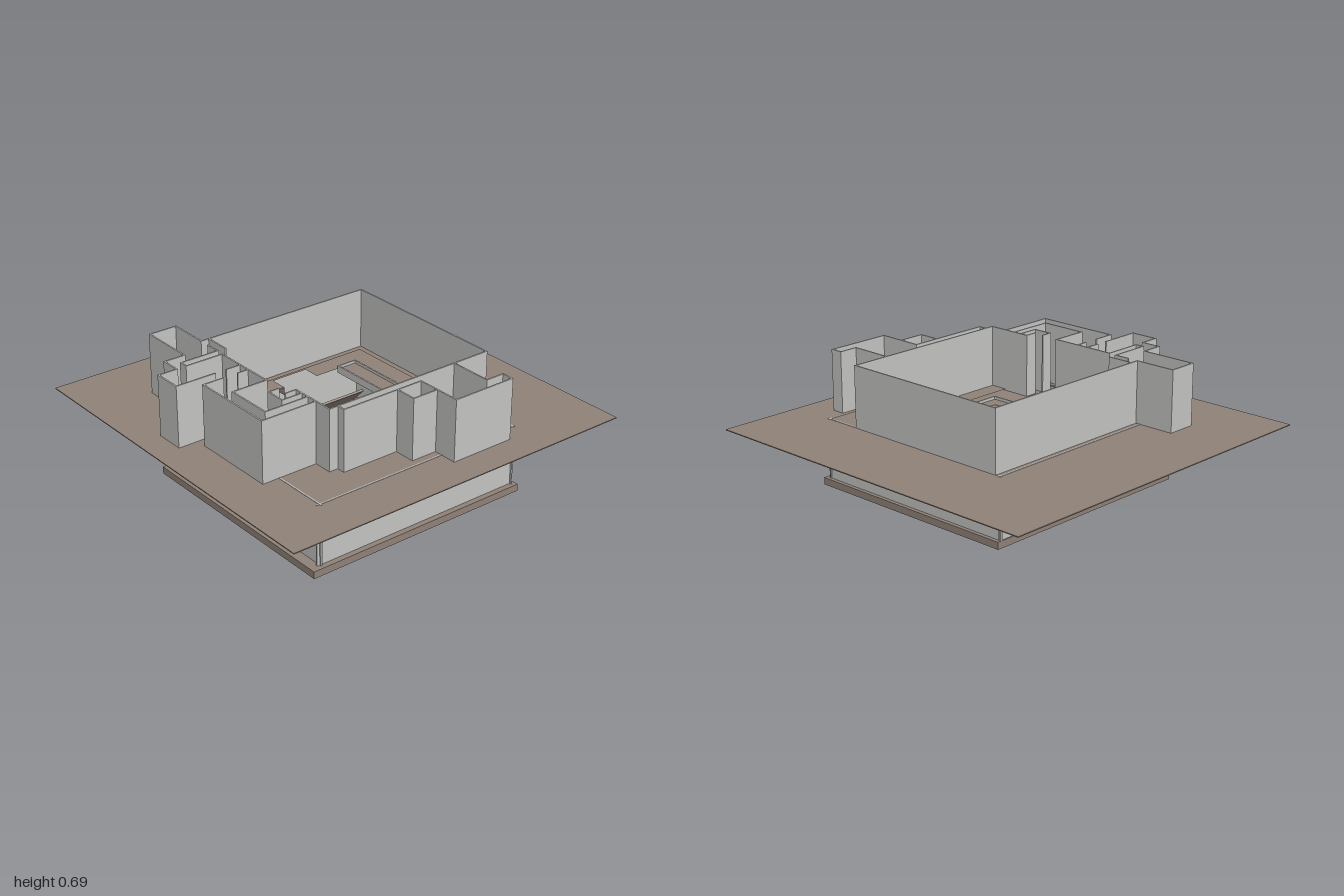
import * as THREE from 'three';

const concrete = new THREE.MeshStandardMaterial({ color: 0xc2c2c0 });
concrete.name = 'pale grey wall';
const earth = new THREE.MeshStandardMaterial({ color: 0x8f8178 });
earth.name = 'brown floor';

const T = 0.008; // wall thickness

function box(name, mat, x0, x1, y0, y1, z0, z1) {
  const m = new THREE.Mesh(new THREE.BoxGeometry(x1 - x0, y1 - y0, z1 - z0), mat);
  m.position.set((x0 + x1) / 2, (y0 + y1) / 2, (z0 + z1) / 2);
  m.name = name;
  return m;
}

// Straight wall runs through a list of [x, z] plan points
function walls(name, y0, y1, paths) {
  const g = new THREE.Group();
  g.name = name;
  for (const p of paths) {
    for (let i = 0; i + 1 < p.length; i++) {
      const [ax, az] = p[i], [bx, bz] = p[i + 1], h = T / 2;
      g.add(box('wall', concrete,
        Math.min(ax, bx) - h, Math.max(ax, bx) + h, y0, y1,
        Math.min(az, bz) - h, Math.max(az, bz) + h));
    }
  }
  return g;
}

// Horizontal slab from plan outlines (x, z), with holes
function slab(name, outline, holes, y0, y1) {
  const pts = (a) => a.map(([x, z]) => new THREE.Vector2(x, -z));
  const s = new THREE.Shape(pts(outline));
  for (const h of holes) s.holes.push(new THREE.Path(pts(h)));
  const geo = new THREE.ExtrudeGeometry(s, { depth: y1 - y0, bevelEnabled: false });
  geo.rotateX(-Math.PI / 2);
  const m = new THREE.Mesh(geo, earth);
  m.position.y = y0;
  m.name = name;
  return m;
}

const rect = (x0, x1, z0, z1) => [[x0, z0], [x1, z0], [x1, z1], [x0, z1]];

export function createModel() {
  const g = new THREE.Group();
  g.name = 'building';

  // Lower storey: foundation and four outer walls with crossing corners
  g.add(box('foundation', earth, -0.72, 0.56, 0.004, 0.042, -0.46, 0.78));
  g.add(walls('lowerWalls', 0.04, 0.364, [
    [[-0.675, -0.45], [0.54, -0.45]],
    [[-0.675, 0.746], [0.54, 0.746]],
    [[-0.66, -0.455], [-0.66, 0.755]],
    [[0.535, -0.455], [0.535, 0.755]],
  ]));

  // Ground plate with a recess and a small shaft
  g.add(slab('groundPlate', rect(-1, 1, -1, 1),
    [rect(-0.65, 0.5, -0.385, 0.44)], 0.357, 0.362));

  // Recessed floor with stairwell opening
  g.add(slab('recessedFloor', rect(-0.655, 0.543, -0.453, 0.54), [[
    [-0.075, -0.385], [0.135, -0.385], [0.135, -0.29], [0.28, -0.29],
    [0.28, 0.28], [-0.19, 0.28], [-0.19, -0.29], [-0.075, -0.29],
  ]], 0.31, 0.355));

  // Ramp down to the foundation
  const ramp = new THREE.Mesh(new THREE.BoxGeometry(0.47, 0.012, 0.43), earth);
  ramp.name = 'ramp';
  ramp.rotation.x = -Math.PI / 4;
  ramp.position.set(0.045, 0.157, -0.24);
  g.add(ramp);

  // Low kerbs around the stairwell
  g.add(walls('stairwellKerb', 0.33, 0.37, [
    [[0.015, 0.28], [0.015, 0.38], [-0.29, 0.38], [-0.29, -0.29], [-0.19, -0.29],
      [-0.19, 0.28], [0.015, 0.28]],
    [[0.11, 0.28], [0.11, 0.38], [0.39, 0.38], [0.39, -0.29], [0.28, -0.29],
      [0.28, 0.28], [0.11, 0.28]],
  ]));

  // Main hall
  g.add(walls('hallWalls', 0.355, 0.69, [
    [[-0.485, -0.42], [0.535, -0.42], [0.535, 0.54], [-0.44, 0.54], [-0.44, 0.29]],
    [[-0.44, -0.42], [-0.44, -0.28]],
  ]));

  // Side rooms
  g.add(walls('sideRoomWalls', 0.355, 0.69, [
    [[-0.485, -0.42], [-0.485, -0.645], [-0.64, -0.645], [-0.64, -0.34],
      [-0.755, -0.34], [-0.755, -0.235], [-0.858, -0.235], [-0.858, -0.085], [-0.64, -0.085]],
    [[-0.485, -0.36], [-0.485, -0.28], [-0.7, -0.28], [-0.7, -0.235], [-0.49, -0.235],
      [-0.49, 0.125], [-0.685, 0.125], [-0.685, 0.38], [-0.44, 0.38]],
    [[-0.57, -0.085], [-0.49, -0.085]],
    [[-0.55, -0.02], [-0.49, -0.02]],
    [[-0.64, -0.02], [-0.75, -0.02], [-0.75, 0.44], [-0.44, 0.44]],
    [[-0.5, 0.23], [-0.555, 0.23], [-0.555, 0.335], [-0.44, 0.335]],
    [[-0.5, 0.29], [-0.44, 0.29]],
  ]));

  // Front porch
  g.add(walls('porchWalls', 0.355, 0.69, [
    [[-0.39, 0.54], [-0.39, 0.585], [0.075, 0.585], [0.075, 0.832], [0.428, 0.832],
      [0.428, 0.77], [0.325, 0.77], [0.325, 0.54]],
    [[-0.07, 0.585], [-0.07, 0.7], [0.075, 0.7]],
  ]));

  return g;
}
